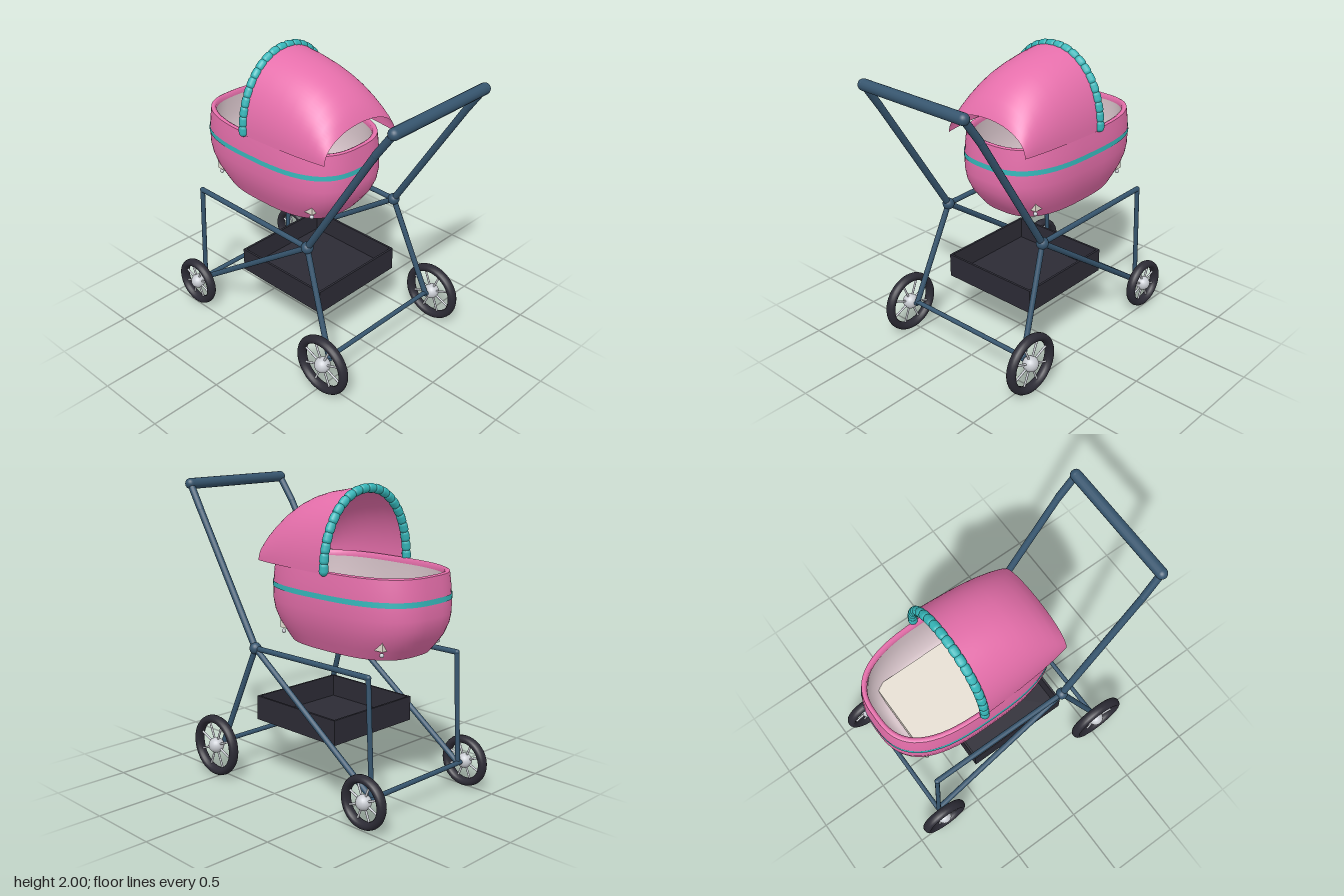
import * as THREE from 'three';

const mat = (name, color, side = THREE.FrontSide) => {
  const m = new THREE.MeshStandardMaterial({ color, side });
  m.name = name;
  return m;
};

// Skin a list of equal-length point rings, optionally joining each ring's ends
function loft(rings, closed) {
  const n = rings[0].length, index = [];
  const steps = closed ? n : n - 1;
  for (let r = 0; r < rings.length - 1; r++) {
    for (let i = 0; i < steps; i++) {
      const a = r * n + i, b = r * n + (i + 1) % n, c = a + n, d = b + n;
      index.push(a, c, b, b, c, d);
    }
  }
  const g = new THREE.BufferGeometry();
  g.setAttribute('position', new THREE.Float32BufferAttribute(rings.flat(2), 3));
  g.setIndex(index);
  g.computeVertexNormals();
  return g;
}

const sp = (v, e) => Math.sign(v) * Math.pow(Math.abs(v), e);
const CZ = -0.278; // centre of the carrycot along z

// Rounded oblong ring at height y
function oval(y, w, l, n = 2.8) {
  const pts = [];
  for (let i = 0; i < 64; i++) {
    const t = i / 64 * Math.PI * 2;
    pts.push([w * sp(Math.cos(t), 2 / n), y, CZ + l * sp(Math.sin(t), 2 / n)]);
  }
  return pts;
}

export function createModel() {
  const pink = mat('pink fabric', 0xe66fab, THREE.DoubleSide);
  const teal = mat('teal trim', 0x35b5b8, THREE.DoubleSide);
  const lining = mat('pale lining', 0xe0ccd2, THREE.DoubleSide);
  const cream = mat('cream bedding', 0xeee6da);
  const blue = mat('blue steel', 0x36556e);
  const dark = mat('dark rubber', 0x2c2b35);
  const silver = mat('silver metal', 0xc9ccd2);

  const model = new THREE.Group();
  model.name = 'babyCarriage';
  const add = (name, geo, material, parent = model, pos = [0, 0, 0]) => {
    const m = new THREE.Mesh(geo, material);
    m.name = name;
    m.position.set(...pos);
    parent.add(m);
    return m;
  };
  const UP = new THREE.Vector3(0, 1, 0);
  const rod = (name, a, b, r, material = blue, parent = model) => {
    const p = new THREE.Vector3(...a), q = new THREE.Vector3(...b);
    const m = add(name, new THREE.CylinderGeometry(r, r, p.distanceTo(q), 14), material, parent);
    m.position.copy(p).lerp(q, 0.5);
    m.quaternion.setFromUnitVectors(UP, q.sub(p).normalize());
    return m;
  };
  const ball = (name, pos, r, material = blue, parent = model) =>
    add(name, new THREE.SphereGeometry(r, 20, 14), material, parent, pos);

  // Carrycot shell: height, half width, half length
  const shell = [
    [1.49, 0.372, 0.6], [1.42, 0.38, 0.608], [1.33, 0.385, 0.615], [1.24, 0.382, 0.618],
    [1.17, 0.372, 0.606], [1.1, 0.352, 0.574], [1.04, 0.327, 0.53], [0.978, 0.3, 0.478],
  ];
  const cot = new THREE.Group();
  cot.name = 'carrycot';
  model.add(cot);
  add('cotShell', loft(shell.map(s => oval(...s)), true), pink, cot);
  add('cotBase', loft([[0.978, 0.3, 0.478], [0.965, 0.2, 0.32], [0.955, 0.002, 0.003]]
    .map(s => oval(...s)), true), pink, cot);
  add('cotRim', loft([[1.49, 0.372, 0.6], [1.497, 0.357, 0.585], [1.49, 0.342, 0.57], [1.46, 0.342, 0.57]]
    .map(s => oval(...s)), true), pink, cot);
  add('cotLining', loft([[1.465, 0.343, 0.571], [1.33, 0.355, 0.585], [1.2, 0.35, 0.58], [1.1, 0.322, 0.54],
    [1.03, 0.28, 0.47], [1.01, 0.002, 0.003]].map(s => oval(...s)), true), lining, cot);
  add('stripe', loft([[1.358, 0.387, 0.617], [1.325, 0.389, 0.619]].map(s => oval(...s)), true), teal, cot);
  add('mattress', new THREE.BoxGeometry(0.555, 0.08, 0.9), cream, cot, [0, 1.09, CZ]);
  for (const x of [-0.262, 0.262]) for (const z of [0.155, -0.71]) {
    ball('stud', [x, 1.025, z], 0.014, silver, cot);
  }

  // Hood: arches from the open mouth to the low rear opening (z, half width, top)
  const BASE = 1.48;
  const arch = ([z, w, top]) => {
    const pts = [];
    for (let i = 0; i <= 40; i++) {
      const t = i / 40 * Math.PI;
      pts.push([w * sp(Math.cos(t), 0.95), BASE + (top - BASE) * sp(Math.sin(t), 0.95), z]);
    }
    return pts;
  };
  const sections = [[-0.33, 0.38, 1.975], [-0.2, 0.376, 1.96], [-0.07, 0.37, 1.935], [0.03, 0.363, 1.905],
    [0.11, 0.356, 1.87], [0.19, 0.346, 1.82], [0.25, 0.338, 1.767], [0.295, 0.33, 1.715], [0.325, 0.323, 1.66]];
  add('hood', loft(sections.map(arch), false), pink);

  // Beaded trim around the mouth of the hood
  const curve = new THREE.CatmullRomCurve3(arch([-0.335, 0.378, 1.97]).map(p => new THREE.Vector3(...p)));
  const trim = new THREE.Group();
  trim.name = 'hoodTrim';
  model.add(trim);
  const BEADS = 22, step = curve.getLength() / BEADS;
  for (let i = 0; i < BEADS; i++) {
    const u = (i + 0.5) / BEADS;
    const bead = add('bead', new THREE.CapsuleGeometry(0.03, step - 0.036, 5, 12), teal, trim);
    bead.position.copy(curve.getPointAt(u));
    bead.quaternion.setFromUnitVectors(UP, curve.getTangentAt(u));
  }

  // Wheel with tyre, hub and spokes, axis along x
  const wheel = (name, pos, outer, tube, hubR) => {
    const g = new THREE.Group();
    g.name = name;
    g.position.set(...pos);
    model.add(g);
    const tyre = add('tyre', new THREE.TorusGeometry(outer - tube, tube, 14, 40), dark, g);
    tyre.rotation.y = Math.PI / 2;
    tyre.scale.z = 0.034 / tube;
    ball('hub', [0, 0, 0], hubR, silver, g);
    for (let i = 0; i < 8; i++) {
      const t = (i + 0.5) / 8 * Math.PI * 2, r = outer - tube;
      rod('spoke', [0, 0, 0], [0, r * Math.sin(t), r * Math.cos(t)], 0.007, silver, g);
    }
  };

  // Mirrored side frames and wheels
  for (const s of [-1, 1]) {
    const joint = [s * 0.415, 0.915, 0.265];
    const bend = [s * 0.415, 1.775, 0.805];
    const grip = [s * 0.405, 1.94, 0.92];
    const knee = [s * 0.415, 0.925, -0.745];
    const smallHub = [s * 0.415, 0.18, -0.78];
    ball('frameJoint', joint, 0.04);
    rod('handleArm', joint, bend, 0.023);
    ball('handleBend', bend, 0.024);
    rod('handleTip', bend, grip, 0.024);
    ball('handleEnd', grip, 0.037);
    rod('topRail', joint, knee, 0.018);
    ball('railKnee', knee, 0.018);
    rod('uprightLeg', knee, smallHub, 0.016);
    rod('diagonalStrut', joint, smallHub, 0.019);
    rod('largeWheelLeg', joint, [s * 0.487, 0.225, 0.525], 0.019);
    rod('largeWheelStub', [s * 0.48, 0.215, 0.53], [s * 0.55, 0.215, 0.53], 0.015);
    wheel('largeWheel', [s * 0.553, 0.21, 0.53], 0.21, 0.027, 0.053);
    wheel('smallWheel', [s * 0.486, 0.178, -0.782], 0.172, 0.026, 0.05);
  }
  rod('handleBar', [-0.405, 1.94, 0.92], [0.405, 1.94, 0.92], 0.037);
  rod('largeAxle', [-0.49, 0.228, 0.525], [0.49, 0.228, 0.525], 0.016);
  rod('smallAxle', [-0.486, 0.18, -0.785], [0.486, 0.18, -0.785], 0.016);

  // Open storage tray
  const tray = new THREE.Group();
  tray.name = 'storageTray';
  tray.position.set(0, 0.4, -0.045);
  model.add(tray);
  add('trayFloor', new THREE.BoxGeometry(0.72, 0.015, 0.73), dark, tray, [0, 0.0075, 0]);
  for (const s of [-1, 1]) {
    add('traySide', new THREE.BoxGeometry(0.015, 0.165, 0.73), dark, tray, [s * 0.3525, 0.0825, 0]);
    add('trayEnd', new THREE.BoxGeometry(0.69, 0.165, 0.015), dark, tray, [0, 0.0825, s * 0.3575]);
  }
  return model;
}
